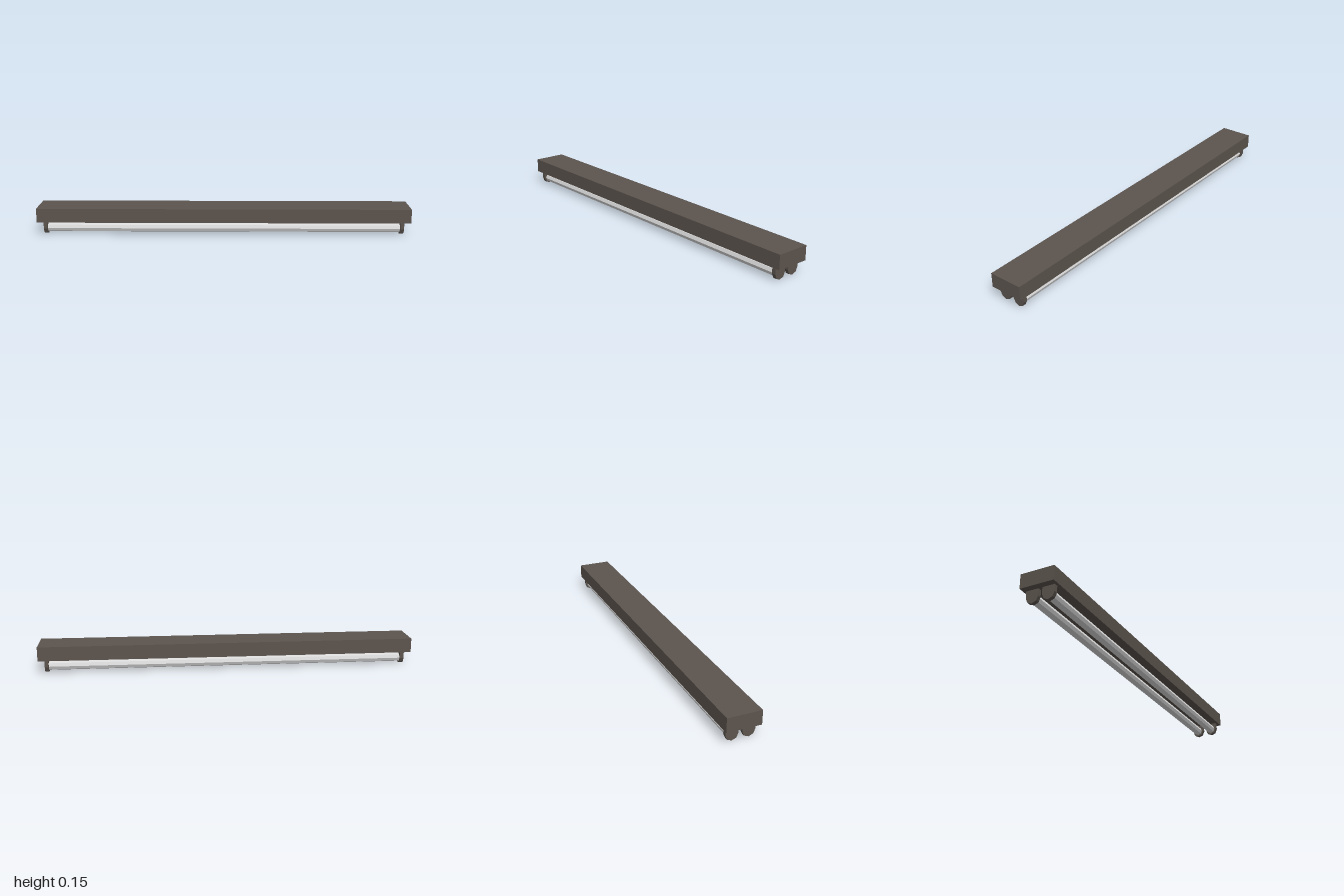
import * as THREE from 'three';

export function createModel() {
  const model = new THREE.Group();
  model.name = 'twinTubeLight';

  const metal = new THREE.MeshStandardMaterial({ color: 0x5c544e });
  metal.name = 'dark metal';
  const glass = new THREE.MeshStandardMaterial({ color: 0xd8d8d8 });
  glass.name = 'pale tube';
  glass.flatShading = true;

  const add = (name, geometry, material, x, y, z) => {
    const mesh = new THREE.Mesh(geometry, material);
    mesh.name = name;
    mesh.position.set(x, y, z);
    model.add(mesh);
  };

  // Long ceiling housing
  add('housing', new THREE.BoxGeometry(2, 0.076, 0.18), metal, 0, 0.108, 0);

  // Tube holder: half an octagon below a straight block
  const r = 0.033, axisY = 0.033, thickness = 0.02;
  const profile = new THREE.Shape();
  profile.moveTo(r, 0.07 - axisY);
  profile.lineTo(-r, 0.07 - axisY);
  for (let i = 0; i <= 4; i++) {
    const a = Math.PI + (i * Math.PI) / 4;
    profile.lineTo(r * Math.cos(a), r * Math.sin(a));
  }
  profile.closePath();
  const holder = new THREE.ExtrudeGeometry(profile, { depth: thickness, bevelEnabled: false });
  holder.translate(0, 0, -thickness / 2);
  holder.rotateY(Math.PI / 2);

  // Eight-sided tube lying along x
  const tube = new THREE.CylinderGeometry(0.024, 0.024, 1.9, 8);
  tube.rotateZ(Math.PI / 2);

  for (const [label, z] of [['front', 0.043], ['back', -0.043]]) {
    add(label + 'Tube', tube, glass, 0, axisY, z);
    add(label + 'HolderLeft', holder, metal, 0.957, axisY, z);
    add(label + 'HolderRight', holder, metal, -0.957, axisY, z);
  }
  return model;
}
